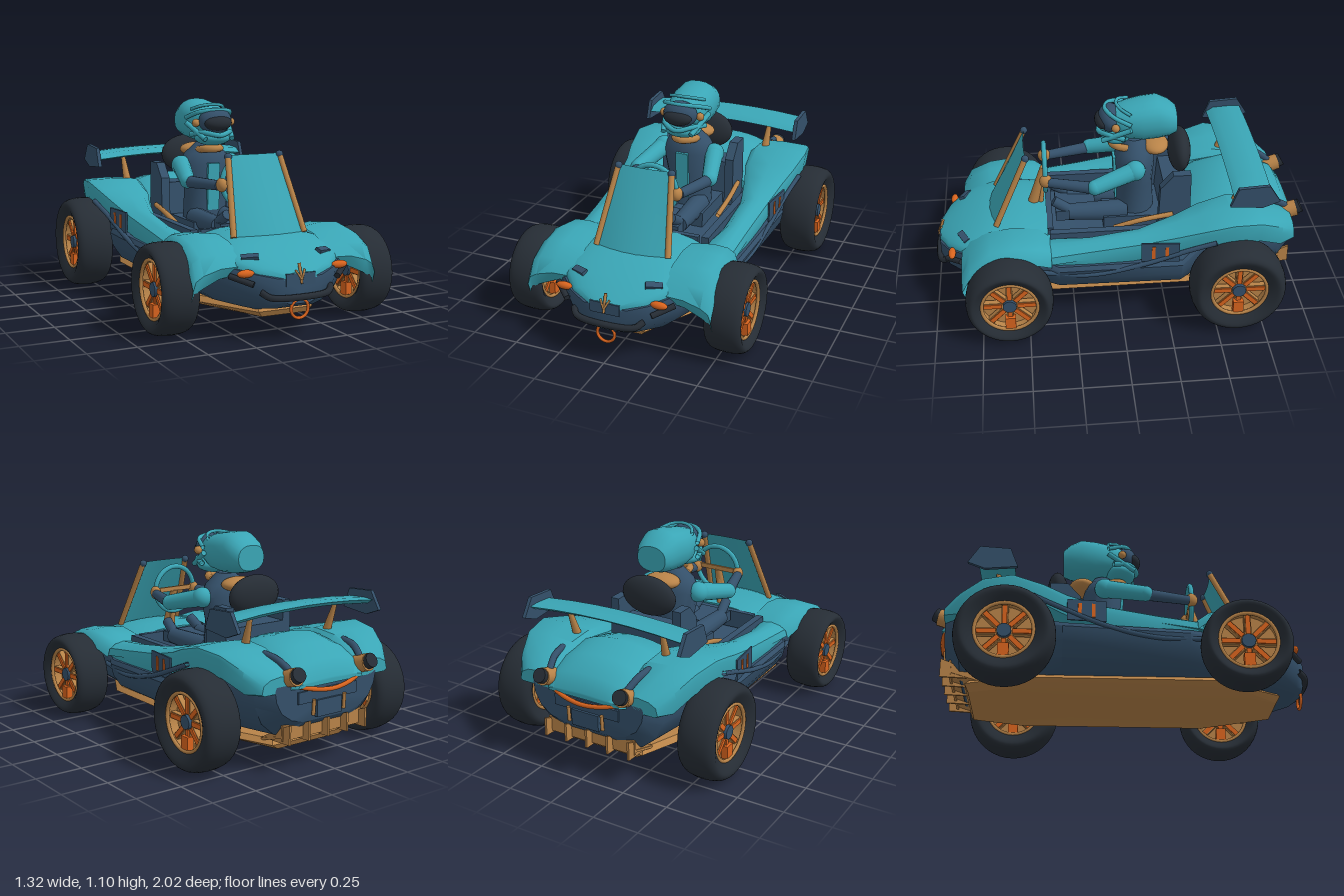
import * as THREE from 'three';
import { toCreasedNormals } from 'three/addons/utils/BufferGeometryUtils.js';

const paint = (name, color) => {
  const m = new THREE.MeshStandardMaterial({ color, side: THREE.DoubleSide });
  m.name = name;
  return m;
};

export function createModel() {
  const root = new THREE.Group();
  root.name = 'buggy';
  const teal = paint('teal', 0x3aa6b6), navy = paint('navy', 0x34506a), black = paint('black', 0x262d35);
  const tan = paint('tan', 0xb88348), orange = paint('orange', 0xd9641e);
  const V = (p) => new THREE.Vector3(...p);
  const sides = [1, -1];

  // --- helpers ---
  function add(name, geo, mat, pos = [0, 0, 0], rot = [0, 0, 0], scale = [1, 1, 1], parent = root) {
    const m = new THREE.Mesh(geo, mat);
    m.name = name;
    m.position.set(...pos);
    m.rotation.set(...rot);
    m.scale.set(...scale);
    parent.add(m);
    return m;
  }
  const box = (name, size, mat, pos, rot, parent) => add(name, new THREE.BoxGeometry(...size), mat, pos, rot, [1, 1, 1], parent);
  const ball = (name, size, mat, pos, rot) => add(name, new THREE.SphereGeometry(1, 24, 16), mat, pos, rot, size);
  function rod(name, a, b, r1, r2, mat) {
    const d = V(b).sub(V(a));
    const m = add(name, new THREE.CylinderGeometry(r2, r1, d.length(), 14), mat);
    m.position.copy(V(a)).addScaledVector(d, 0.5);
    m.quaternion.setFromUnitVectors(new THREE.Vector3(0, 1, 0), d.normalize());
  }
  const tube = (name, pts, r, mat) =>
    add(name, new THREE.TubeGeometry(new THREE.CatmullRomCurve3(pts.map(V)), 24, r, 8), mat);
  // Side profile of [-z, y] points pulled along x
  const slab = (name, pts, width, mat, x) => add(name, new THREE.ExtrudeGeometry(
    new THREE.Shape(pts.map((p) => new THREE.Vector2(...p))), { depth: width, bevelEnabled: false }), mat, [x - width / 2, 0, 0], [0, Math.PI / 2, 0]);
  // Skin over equal-length rings of points
  function loft(name, rings, mat, closed = true, crease = 0.7) {
    const n = rings[0].length, pos = rings.flat(2), idx = [];
    const span = closed ? n : n - 1;
    for (let i = 0; i < rings.length - 1; i++) for (let j = 0; j < span; j++) {
      const a = i * n + j, b = i * n + (j + 1) % n;
      idx.push(a, b, a + n, b, b + n, a + n);
    }
    if (closed) for (const e of [0, rings.length - 1]) {
      const c = pos.length / 3;
      for (let k = 0; k < 3; k++) pos.push(rings[e].reduce((t, p) => t + p[k], 0) / n);
      for (let j = 0; j < n; j++) {
        const a = e * n + j, b = e * n + (j + 1) % n;
        idx.push(...(e ? [a, b, c] : [b, a, c]));
      }
    }
    const g = new THREE.BufferGeometry();
    g.setAttribute('position', new THREE.Float32BufferAttribute(pos, 3));
    g.setIndex(idx);
    return add(name, toCreasedNormals(g, crease), mat);
  }
  const circle = (n, f) => Array.from({ length: n }, (_, i) => f(Math.cos(i / n * Math.PI * 2), Math.sin(i / n * Math.PI * 2)));
  const mirrorRing = (half) => [...half, ...half.slice().reverse().map(([x, y, z]) => [-x, y, z])];
  const arch = (z, w, base, top, e) => Array.from({ length: 17 }, (_, i) => {
    const t = Math.PI * i / 16;
    return [w * Math.cos(t), base + (top - base) * Math.abs(Math.sin(t)) ** e, z];
  });

  // --- lower tub: z, half width, bottom, top ---
  loft('tub', [[0.97, 0.12, 0.18, 0.31], [0.92, 0.22, 0.155, 0.33], [0.8, 0.34, 0.13, 0.36], [0.6, 0.41, 0.12, 0.37],
    [0.4, 0.43, 0.12, 0.36], [0.33, 0.47, 0.12, 0.35], [-0.32, 0.492, 0.12, 0.37], [-0.42, 0.42, 0.12, 0.42],
    [-0.85, 0.4, 0.16, 0.46], [-0.93, 0.33, 0.25, 0.45]].map(([z, w, b, t]) => mirrorRing(
    [[0.45, 0], [0.68, 0.1], [0.87, 0.32], [0.97, 0.62], [1, 0.9], [0.97, 1]].map(([u, v]) => [w * u, b + (t - b) * v, z]))), navy);
  // Floor tray with pointed front
  const tray = [[0.15, 0.83], [0.35, 0.47], [0.35, -0.55], [0.25, -0.82]];
  loft('floorTray', [[0.09, 0.82, 0.98], [0.12, 1, 1], [0.145, 0.93, 0.97]].map(([y, sx, sz]) =>
    mirrorRing(tray.map(([x, z]) => [x * sx, y, z * sz]))), tan, true, 0.5);

  // --- upper body ---
  loft('hood', [[0.97, 0.09, 0.3, 0.335], [0.92, 0.2, 0.32, 0.37], [0.84, 0.28, 0.34, 0.41], [0.76, 0.32, 0.35, 0.445],
    [0.66, 0.33, 0.35, 0.475], [0.5, 0.32, 0.34, 0.485], [0.38, 0.31, 0.34, 0.47]].map(([z, w, b, t]) => arch(z, w, b, t, 0.6)), teal);
  loft('rearDeck', [[-0.38, 0.24, 0.42, 0.51], [-0.48, 0.27, 0.42, 0.59], [-0.64, 0.28, 0.42, 0.63], [-0.8, 0.27, 0.42, 0.6],
    [-0.91, 0.25, 0.42, 0.54], [-0.96, 0.21, 0.43, 0.46]].map(([z, w, b, t]) => arch(z, w, b, t, 0.6)), teal);
  for (const s of sides) {
    // z, y, lift of the inner edge, width factor
    loft('frontFender', [[0.82, 0.26, 0.07, 1], [0.845, 0.33, 0.04, 1], [0.8, 0.41, 0, 1], [0.69, 0.46, 0, 1], [0.56, 0.478, 0, 1],
      [0.43, 0.46, 0, 0.97], [0.37, 0.425, 0, 0.92]].map(([z, y, l, w]) => [[0.24, y - 0.01 + l], [0.36, y + 0.006 + l / 2], [0.45 * w, y],
      [0.49 * w, y - 0.025], [0.505 * w, y - 0.07]].map(([x, h]) => [s * x, h, z])), teal, false, 0.9);
    // z, inner x, outer x, bottom, top, edge softness
    loft('sidePodAndRearFender', [[0.4, 0.26, 0.45, 0.36, 0.43, 1], [0.17, 0.31, 0.455, 0.32, 0.46, 1], [-0.1, 0.31, 0.468, 0.37, 0.5, 1],
      [-0.3, 0.26, 0.49, 0.41, 0.545, 0.8], [-0.42, 0.22, 0.515, 0.46, 0.58, 0.5], [-0.58, 0.2, 0.533, 0.49, 0.617, 0.3], [-0.73, 0.2, 0.51, 0.48, 0.605, 0.4],
      [-0.85, 0.2, 0.465, 0.42, 0.555, 0.8], [-0.93, 0.19, 0.41, 0.42, 0.5, 1]].map(([z, i, o, b, t, k]) => [
      [i, b], [i, t - 0.04], [i + 0.03, t - 0.01], [(i + o) / 2, t], [o - 0.05 * k, t - 0.008 * k], [o - 0.01 * k, t - 0.03 * k], [o, t - 0.07 * k], [o - 0.015, b]
    ].map(([x, y]) => [s * x, y, z])), teal);
    tube('sideRail', [[s * 0.44, 0.31, 0.42], [s * 0.468, 0.3, 0.17], [s * 0.48, 0.35, -0.08], [s * 0.502, 0.45, -0.35], [s * 0.525, 0.505, -0.49]], 0.013, navy);
    box('sidePlate', [0.009, 0.115, 0.2], navy, [s * 0.485, 0.435, -0.2], [0, s * -0.1, 0]);
    for (const z of [-0.165, -0.235]) box('sidePlateStripe', [0.008, 0.075, 0.018], orange, [s * (0.469 - z * 0.1), 0.435, z], [0, s * -0.1, 0]);
    // Cockpit edges
    box('cockpitWall', [0.04, 0.12, 0.74], navy, [s * 0.285, 0.4, 0]);
    tube('cockpitRail', [[s * 0.22, 0.42, 0.02], [s * 0.235, 0.47, -0.12], [s * 0.22, 0.49, -0.3]], 0.014, tan);
    box('hoodVent', [0.085, 0.045, 0.035], navy, [s * 0.2, 0.386, 0.83], [0.4, s * 0.4, s * -0.25]);
    tube('deckGroove', [[s * 0.26, 0.575, -0.76], [s * 0.25, 0.56, -0.85], [s * 0.22, 0.49, -0.95]], 0.018, navy);
    // Lights
    ball('headlight', [0.045, 0.02, 0.02], orange, [s * 0.258, 0.335, 0.9]);
    rod('lampBar', [s * 0.23, 0.285, 0.93], [s * 0.32, 0.32, 0.85], 0.015, 0.015, black);
    // Exhausts
    rod('exhaustPipe', [s * 0.23, 0.47, -0.88], [s * 0.235, 0.5, -0.975], 0.045, 0.045, tan);
    rod('exhaustTip', [s * 0.235, 0.498, -0.965], [s * 0.237, 0.515, -0.995], 0.038, 0.038, black);
    // Wing mounts and end plates
    rod('wingMount', [s * 0.27, 0.58, -0.62], [s * 0.28, 0.76, -0.68], 0.024, 0.01, tan);
    slab('wingEndPlate', [[0.56, 0.69], [0.6, 0.795], [0.76, 0.805], [0.82, 0.71], [0.73, 0.675]], 0.02, navy, s * 0.46);
  }
  box('dashboard', [0.5, 0.1, 0.03], navy, [0, 0.41, 0.365]);
  loft('rearWing', [-0.46, -0.3, -0.15, 0, 0.15, 0.3, 0.46].map((x) => {
    const y = 0.775 - 0.12 * x * x;
    return [[x, y - 0.02, -0.58], [x, y + 0.006, -0.62], [x, y + 0.012, -0.72], [x, y + 0.008, -0.775], [x, y - 0.015, -0.74], [x, y - 0.035, -0.64]];
  }), teal);

  // --- windscreen: half width, y, z, bow ---
  loft('windscreen', [[0.195, 0.46, 0.655, 0.04], [0.17, 0.66, 0.565, 0.025], [0.145, 0.85, 0.48, 0.01]].map(([w, y, z, bow]) =>
    [-1, -0.6, -0.2, 0.2, 0.6, 1].map((u) => [u * w, y, z + bow * (1 - u * u)])), teal, false);
  for (const s of sides) {
    rod('windscreenPillar', [s * 0.2, 0.46, 0.655], [s * 0.148, 0.84, 0.483], 0.016, 0.016, tan);
    ball('pillarCap', [0.02, 0.02, 0.02], navy, [s * 0.147, 0.842, 0.482]);
  }

  // --- nose ---
  tube('frontBumper', [[-0.19, 0.245, 0.93], [-0.16, 0.223, 0.965], [0, 0.215, 0.985], [0.16, 0.223, 0.965], [0.19, 0.245, 0.93]], 0.017, black);
  add('towRing', new THREE.TorusGeometry(0.047, 0.008, 8, 28), orange, [0, 0.155, 0.965]);
  box('nosePatch', [0.16, 0.06, 0.02], navy, [0, 0.3, 0.965]);
  rod('noseFin', [0, 0.28, 0.985], [0, 0.375, 0.955], 0.006, 0.008, tan);
  for (const s of sides) rod('noseFinBrace', [0, 0.3, 0.985], [s * 0.025, 0.345, 0.965], 0.005, 0.005, tan);

  // --- tail ---
  tube('tailStrip', [[-0.21, 0.44, -0.94], [-0.1, 0.415, -0.965], [0, 0.405, -0.972], [0.1, 0.415, -0.965], [0.21, 0.44, -0.94]], 0.012, orange);
  box('tailGrille', [0.38, 0.06, 0.03], navy, [0, 0.375, -0.925]);
  box('tailPlate', [0.16, 0.085, 0.025], navy, [0, 0.31, -0.94]);
  for (const s of sides) rod('tailPlateBracket', [s * 0.1, 0.28, -0.945], [s * 0.1, 0.36, -0.95], 0.009, 0.009, tan);
  box('diffuserFloor', [0.52, 0.012, 0.16], tan, [0, 0.16, -0.82], [0.3, 0, 0]);
  box('diffuserPanel', [0.52, 0.08, 0.012], tan, [0, 0.205, -0.9]);
  for (let i = -2; i <= 2; i++) slab('diffuserFin', [[0.74, 0.145], [0.95, 0.155], [0.95, 0.255], [0.9, 0.235]], 0.012, tan, i * 0.125);

  // --- wheels ---
  function wheel(name, x, R, hw, z) {
    const g = new THREE.Group();
    g.name = name;
    g.position.set(x, R, z);
    g.rotation.z = x > 0 ? -Math.PI / 2 : Math.PI / 2;
    root.add(g);
    const rim = 0.15, d = R - rim, down = Math.sign(x);
    const half = [[0, 0.68], [0.3, 0.86], [0.62, 0.97], [0.86, 0.78], [0.97, 0.42], [1, 0]];
    const prof = [...half, ...half.slice(0, -1).reverse().map(([a, b]) => [a, -b])];
    const curve = new THREE.SplineCurve(prof.map(([a, b]) => new THREE.Vector2(rim + d * a, b * hw)));
    add('tyre', new THREE.LatheGeometry(curve.getPoints(28), 40), black, undefined, undefined, undefined, g);
    add('rimBarrel', new THREE.CylinderGeometry(rim, rim, hw * 1.35, 32, 1, true), tan, undefined, undefined, undefined, g);
    add('rimDisc', new THREE.CylinderGeometry(rim, rim, 0.02, 32), tan, undefined, undefined, undefined, g);
    for (const s of sides) {
      add('rimLip', new THREE.TorusGeometry(rim - 0.004, 0.01, 8, 36), tan, [0, s * hw * 0.66, 0], [Math.PI / 2, 0, 0], undefined, g);
      for (let i = 0; i < 8; i++) {
        const a = i * Math.PI / 4, c = Math.cos(a), n = Math.sin(a);
        box('spoke', [0.11, 0.03, 0.034], tan, [c * 0.09, s * 0.035, n * 0.09], [0, -a, 0], g);
        box('spokeFace', [0.1, 0.008, 0.024], orange, [c * 0.09, s * 0.053, n * 0.09], [0, -a, 0], g);
      }
      box('brakeBlock', [0.07, 0.035, 0.055], orange, [down * 0.105, s * 0.055, 0], undefined, g);
    }
    add('hub', new THREE.CylinderGeometry(0.036, 0.036, hw * 1.3, 16), navy, undefined, undefined, undefined, g);
  }
  for (const s of sides) {
    wheel('frontWheel', s * 0.547, 0.23, 0.1, 0.6);
    wheel('rearWheel', s * 0.556, 0.255, 0.106, -0.605);
  }

  // --- seat and steering ---
  slab('seatBack', [[0.24, 0.38], [0.26, 0.62], [0.395, 0.62], [0.395, 0.38]], 0.34, navy, 0);
  for (const s of sides) slab('seatBolster', [[0.22, 0.38], [0.23, 0.65], [0.3, 0.73], [0.395, 0.73], [0.395, 0.38]], 0.05, navy, s * 0.19);
  box('seatBase', [0.3, 0.1, 0.34], navy, [0, 0.39, -0.1]);
  box('lapPad', [0.23, 0.06, 0.22], navy, [0, 0.44, 0.22]);
  ball('headrest', [0.16, 0.11, 0.06], black, [0, 0.77, -0.355], [-0.08, 0, 0]);
  ball('neckCushion', [0.1, 0.04, 0.075], tan, [0, 0.81, -0.22]);
  add('steeringWheel', new THREE.TorusGeometry(0.13, 0.014, 10, 36), teal, [0, 0.695, 0.38]);
  rod('steeringColumn', [0, 0.47, 0.45], [0, 0.69, 0.385], 0.03, 0.02, tan);
  rod('steeringPost', [0, 0.46, 0.41], [0, 0.68, 0.39], 0.016, 0.016, tan);
  box('steeringSpoke', [0.25, 0.025, 0.015], tan, [0, 0.695, 0.38]);

  // --- driver ---
  loft('torso', [[0.4, 0.13, 0.11], [0.6, 0.12, 0.1], [0.74, 0.15, 0.11], [0.8, 0.12, 0.09], [0.86, 0.05, 0.05]].map(
    ([y, w, d]) => circle(20, (c, n) => [w * c, y, -0.11 + d * n])), navy);
  box('chestStrip', [0.07, 0.26, 0.02], teal, [0, 0.62, -0.005], [0.04, 0, 0]);
  tube('collar', [[-0.06, 0.82, -0.07], [-0.045, 0.83, -0.01], [0, 0.83, 0.015], [0.045, 0.83, -0.01], [0.06, 0.82, -0.07]], 0.02, tan);
  for (const s of sides) {
    ball('shoulder', [0.055, 0.055, 0.055], teal, [s * 0.15, 0.735, -0.1]);
    rod('upperArm', [s * 0.15, 0.735, -0.1], [s * 0.21, 0.68, 0.12], 0.05, 0.042, teal);
    ball('elbow', [0.042, 0.042, 0.042], teal, [s * 0.21, 0.68, 0.12]);
    rod('forearm', [s * 0.21, 0.675, 0.12], [s * 0.14, 0.68, 0.36], 0.033, 0.026, navy);
    ball('hand', [0.028, 0.038, 0.035], tan, [s * 0.132, 0.685, 0.378]);
    rod('thigh', [s * 0.08, 0.44, -0.06], [s * 0.09, 0.45, 0.26], 0.06, 0.045, navy);
    rod('shin', [s * 0.09, 0.47, 0.26], [s * 0.08, 0.52, 0.34], 0.028, 0.028, navy);
    // Helmet side fittings
    ball('maskKnob', [0.022, 0.022, 0.022], tan, [s * 0.105, 0.975, 0.0]);
    rod('cheekBar', [s * 0.08, 0.89, 0.07], [s * 0.125, 0.97, -0.08], 0.014, 0.014, teal);
  }
  // z, half width, bottom, top
  loft('helmet', [[0.03, 0.06, 0.93, 1.03], [-0.01, 0.09, 0.9, 1.05], [-0.07, 0.112, 0.875, 1.068], [-0.15, 0.123, 0.865, 1.085], [-0.23, 0.12, 0.87, 1.095],
    [-0.29, 0.108, 0.88, 1.065], [-0.33, 0.085, 0.895, 1.03]].map(([z, w, b, t]) =>
    circle(20, (c, n) => [w * Math.sign(c) * Math.abs(c) ** 0.85, (b + t) / 2 + (t - b) / 2 * Math.sign(n) * Math.abs(n) ** 0.85, z])), teal);
  ball('maskFrame', [0.095, 0.072, 0.065], navy, [0, 0.985, 0.022]);
  ball('maskLens', [0.08, 0.042, 0.045], black, [0, 0.975, 0.06]);
  ball('chinGuard', [0.105, 0.045, 0.085], teal, [0, 0.893, -0.01]);
  tube('chinBar', [[-0.115, 0.91, -0.05], [-0.08, 0.925, 0.04], [0, 0.91, 0.085], [0.08, 0.925, 0.04], [0.115, 0.91, -0.05]], 0.014, teal);
  tube('browBar', [[-0.13, 1.0, -0.08], [-0.09, 1.035, 0.01], [0, 1.045, 0.05], [0.09, 1.035, 0.01], [0.13, 1.0, -0.08]], 0.012, teal);
  tube('browTrim', [[-0.1, 1.045, -0.08], [-0.06, 1.065, -0.03], [0, 1.072, -0.01], [0.06, 1.065, -0.03], [0.1, 1.045, -0.08]], 0.009, teal);
  return root;
}
